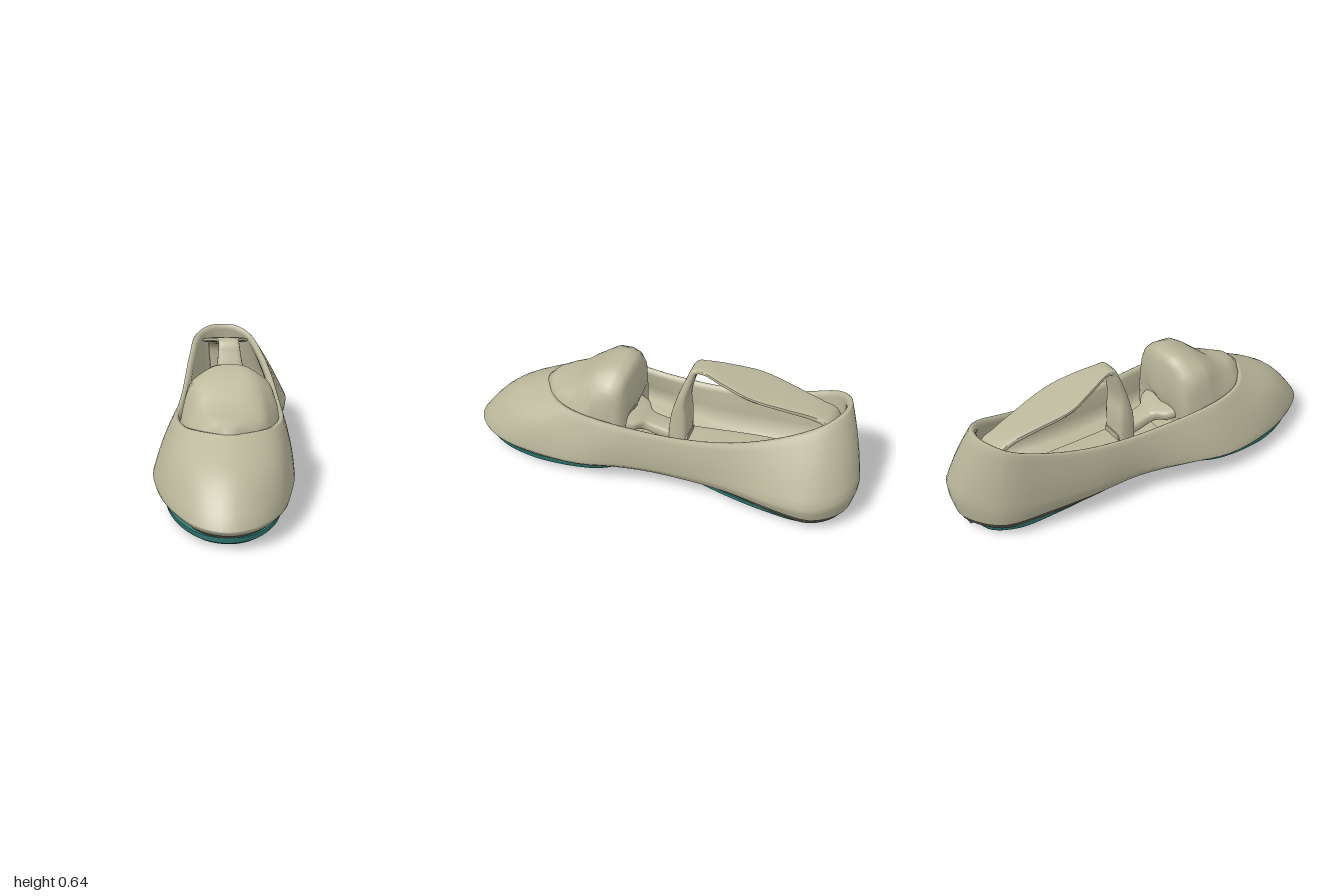
import * as THREE from 'three';
import { toCreasedNormals } from 'three/addons/utils/BufferGeometryUtils.js';

const V = (x, y, z) => new THREE.Vector3(x, y, z);
const N = 88;

// Piecewise-linear lookup in a table of [key, value] pairs with rising keys
function look(table, k) {
  if (k <= table[0][0]) return table[0][1];
  for (let i = 1; i < table.length; i++) {
    const [a, va] = table[i - 1], [b, vb] = table[i];
    if (k <= b) return va + (vb - va) * (k - a) / (b - a);
  }
  return table[table.length - 1][1];
}

// Skin a list of closed rings with equal point counts
function loft(rings) {
  const n = rings[0].length, pos = [], idx = [];
  rings.forEach(r => r.forEach(p => pos.push(p.x, p.y, p.z)));
  for (let i = 0; i < rings.length - 1; i++) {
    for (let j = 0; j < n; j++) {
      const k = (j + 1) % n;
      const a = i * n + j, b = i * n + k, c = a + n, d = b + n;
      idx.push(a, b, d, a, d, c);
    }
  }
  const g = new THREE.BufferGeometry();
  g.setAttribute('position', new THREE.Float32BufferAttribute(pos, 3));
  g.setIndex(idx);
  g.computeVertexNormals();
  return g;
}

const closed = pts => new THREE.CatmullRomCurve3(pts.map(p => V(...p)), true, 'centripetal');
const sample = curve => Array.from({ length: N }, (_, i) => curve.getPoint(i / N));

// Move a ring sideways along its outward plan normal
function offset(ring, d) {
  return ring.map((p, i) => {
    const t = ring[(i + 1) % N].clone().sub(ring[(i + N - 1) % N]);
    const l = Math.hypot(t.x, t.z) || 1;
    return V(p.x - t.z / l * d, p.y, p.z + t.x / l * d);
  });
}
const setY = (ring, f) => ring.map(p => V(p.x, f(p.z), p.z));
const collapse = ring => ring.map(p => V(0.02, p.y, p.z));

// Widest line of the shoe: toe, left side, heel, right side
const WIDE = [
  [0.02, 0.1, 1], [0.14, 0.105, 0.95], [0.25, 0.115, 0.8], [0.3, 0.125, 0.6], [0.325, 0.14, 0.35],
  [0.29, 0.16, 0.1], [0.275, 0.165, -0.15], [0.285, 0.17, -0.4], [0.327, 0.17, -0.65], [0.325, 0.18, -0.83],
  [0.22, 0.2, -0.96], [0.07, 0.21, -1], [-0.06, 0.21, -0.95], [-0.16, 0.2, -0.85], [-0.205, 0.2, -0.65],
  [-0.23, 0.18, -0.4], [-0.24, 0.17, -0.15], [-0.3, 0.15, 0.1], [-0.34, 0.13, 0.32], [-0.3, 0.125, 0.6],
  [-0.22, 0.115, 0.8], [-0.11, 0.105, 0.95]];
// Opening edge, point for point with the widest line
const COLLAR = [
  [0.02, 0.39, 0.62], [0.12, 0.39, 0.58], [0.21, 0.385, 0.5], [0.26, 0.38, 0.38], [0.275, 0.37, 0.22],
  [0.272, 0.36, 0.05], [0.262, 0.36, -0.18], [0.242, 0.39, -0.42], [0.2, 0.45, -0.64], [0.135, 0.52, -0.82],
  [0.06, 0.55, -0.89], [-0.02, 0.555, -0.91], [-0.1, 0.55, -0.89], [-0.17, 0.52, -0.82], [-0.2, 0.45, -0.64],
  [-0.215, 0.39, -0.42], [-0.225, 0.36, -0.18], [-0.235, 0.36, 0.05], [-0.245, 0.37, 0.22], [-0.23, 0.38, 0.38],
  [-0.18, 0.385, 0.5], [-0.09, 0.39, 0.58]];
// Heights along z of the upper's lower edge and of the underside
const EDGE = [[-1, 0.085], [-0.6, 0.11], [0, 0.125], [0.2, 0.12], [0.6, 0.085], [1, 0.07]];
const UNDER = [[-0.95, 0.045], [-0.5, 0.075], [-0.1, 0.105], [0.08, 0.105], [0.3, 0.085], [0.6, 0.058], [1, 0.045]];

export function createModel() {
  const group = new THREE.Group();
  const beige = new THREE.MeshStandardMaterial({ color: 0xbab79b, side: THREE.DoubleSide });
  beige.name = 'beige leather';
  const dark = new THREE.MeshStandardMaterial({ color: 0x53554b });
  dark.name = 'dark welt';
  const teal = new THREE.MeshStandardMaterial({ color: 0x34857c });
  teal.name = 'teal rubber';
  const add = (name, geo, mat) => {
    const m = new THREE.Mesh(geo, mat);
    m.name = name;
    group.add(m);
  };

  const wide = sample(closed(WIDE));
  const collar = sample(closed(COLLAR));

  // Upper: lower edge, widest line, bulging wall, then over a rolled collar and down the lining
  const lower = setY(offset(wide, -0.022), z => look(EDGE, z));
  const rings = [lower, offset(wide, -0.004).map((p, i) => V(p.x, p.y * 0.6 + lower[i].y * 0.4, p.z))];
  for (let v = 0; v <= 8; v++) {
    const t = v / 8, s = Math.sin(Math.PI * t);
    const ring = wide.map((p, i) => p.clone().lerp(collar[i], t));
    rings.push(offset(ring, 0.008 * s).map(p => {
      const toe = THREE.MathUtils.smoothstep(p.z, 0.35, 0.85) * s;
      return V(p.x, p.y + 0.035 * toe, p.z + 0.02 * toe);
    }));
  }
  const raise = (ring, dy) => ring.map(p => V(p.x, p.y + dy, p.z));
  const inner = raise(offset(collar, -0.032), -0.02);
  const floor = setY(offset(wide, -0.05), z => look(EDGE, z) + 0.03);
  rings.push(raise(offset(collar, -0.008), 0.006), raise(offset(collar, -0.022), 0.003), inner,
    inner.map((p, i) => p.clone().lerp(floor[i], 0.5)), floor, collapse(floor));
  add('upper', loft(rings), beige);

  // Welt and arch underside
  const under = setY(offset(wide, -0.05), z => look(UNDER, z));
  const weltEdge = offset(lower, -0.004);
  add('welt', toCreasedNormals(loft([collapse(under), under, weltEdge, collapse(weltEdge)]), 0.6), dark);

  // Two separate sole pads, both tapering toward the arch
  const pad = (name, plan, bottom, top) => {
    const ring = sample(closed(plan.map(([x, z]) => [x, 0, z])));
    const hi = setY(ring, z => look(top, z));
    const lo = setY(offset(ring, -0.03), z => look(bottom, z));
    const mid = offset(hi, -0.008).map((p, i) => V(p.x, lo[i].y * 0.65 + p.y * 0.35, p.z));
    add(name, toCreasedNormals(loft([collapse(lo), lo, mid, hi, collapse(hi)]), 0.7), teal);
  };
  pad('foreSole', [
    [0.02, 0.955], [0.12, 0.92], [0.21, 0.8], [0.265, 0.6], [0.28, 0.35], [0.25, 0.2], [0.14, 0.08],
    [0, 0.045], [-0.12, 0.07], [-0.25, 0.17], [-0.29, 0.33], [-0.265, 0.6], [-0.19, 0.8], [-0.09, 0.92]],
  [[0.04, 0.1], [0.3, 0.05], [0.6, 0.02], [0.97, 0.012]],
  [[0.04, 0.128], [0.3, 0.1], [0.6, 0.068], [0.97, 0.052]]);
  pad('heelSole', [
    [0.05, -0.07], [0.17, -0.11], [0.23, -0.3], [0.27, -0.6], [0.26, -0.78], [0.17, -0.89],
    [0.06, -0.915], [-0.05, -0.89], [-0.13, -0.78], [-0.16, -0.6], [-0.16, -0.3], [-0.08, -0.11]],
  [[-0.91, 0], [-0.07, 0.088]], [[-0.91, 0.052], [-0.5, 0.085], [-0.07, 0.122]]);

  // Toe block of the shoe tree: arched sections [z, half width, top], with soft pleats
  const pw = (v, e) => Math.sign(v) * Math.abs(v) ** e;
  const arch = ([z, w, h]) => Array.from({ length: 64 }, (_, i) => {
    const a = i / 64 * Math.PI * 2, s = Math.sin(a);
    const fold = 1 + 0.035 * Math.sin(a * 7 + z * 16) * Math.max(0, s);
    return V(0.02 + w * pw(Math.cos(a), 0.66) * fold,
      s > 0 ? 0.2 + (h - 0.2) * pw(s, 0.66) * (1 + (fold - 1) * 0.4) : 0.2 + 0.03 * s,
      z + 0.03 * Math.abs(Math.cos(a)) * (z < 0.3 ? 1 : -1));
  });
  add('toeBlock', loft([
    [0.17, 0.01, 0.25], [0.115, 0.17, 0.4], [0.13, 0.2, 0.56], [0.155, 0.215, 0.595], [0.2, 0.23, 0.606],
    [0.27, 0.238, 0.59], [0.34, 0.235, 0.555], [0.4, 0.23, 0.51], [0.45, 0.22, 0.47],
    [0.51, 0.205, 0.452], [0.57, 0.155, 0.435], [0.61, 0.1, 0.4], [0.63, 0.01, 0.25]].map(arch)), beige);

  // Bent strip: stations [x, y, z, half width, half thickness] swept from heel to front
  const strip = (name, st, steps) => {
    const path = new THREE.CatmullRomCurve3(st.map(s => V(s[0], s[1], s[2])), false, 'centripetal');
    const size = new THREE.SplineCurve(st.map(s => new THREE.Vector2(s[3], s[4])));
    const out = [];
    for (let i = 0; i <= steps; i++) {
      const u = i / steps, { x: w, y: h } = size.getPoint(u);
      const p = path.getPoint(u), t = path.getTangent(u);
      const n = t.clone().cross(V(1, 0, 0)).normalize();
      out.push(Array.from({ length: 20 }, (_, j) => {
        const a = j / 20 * Math.PI * 2;
        return p.clone().add(V(w * pw(Math.cos(a), 0.5), 0, 0)).addScaledVector(n, h * pw(Math.sin(a), 0.5));
      }));
    }
    const end = r => {
      const c = r.reduce((s, p) => s.add(p), V(0, 0, 0)).divideScalar(r.length);
      return r.map(() => c);
    };
    add(name, toCreasedNormals(loft([end(out[0]), ...out, end(out[steps])]), 0.8), beige);
  };
  strip('treeHandle', [
    [-0.02, 0.3, -0.85, 0.07, 0.015], [-0.02, 0.46, -0.83, 0.08, 0.015], [-0.015, 0.497, -0.76, 0.075, 0.018],
    [-0.01, 0.53, -0.64, 0.095, 0.014], [-0.005, 0.572, -0.46, 0.12, 0.012], [0.005, 0.608, -0.32, 0.09, 0.012],
    [0.01, 0.63, -0.21, 0.055, 0.012], [0.015, 0.625, -0.165, 0.052, 0.016], [0.018, 0.57, -0.14, 0.058, 0.018],
    [0.025, 0.45, -0.105, 0.07, 0.026], [0.025, 0.34, -0.095, 0.075, 0.045], [0.03, 0.18, -0.09, 0.075, 0.05]], 66);
  strip('treeStem', [
    [0.03, 0.22, -0.14, 0.06, 0.03], [0.035, 0.24, 0, 0.055, 0.03], [0.035, 0.26, 0.08, 0.06, 0.03],
    [0.03, 0.275, 0.12, 0.11, 0.03], [0.03, 0.3, 0.22, 0.14, 0.03]], 24);

  // Thin heel plate of the shoe tree
  strip('heelPlate', [
    [0, 0.19, -0.8, 0.1, 0.012], [0, 0.2, -0.5, 0.1, 0.012], [0.02, 0.2, -0.12, 0.08, 0.012]], 12);

  return group;
}
